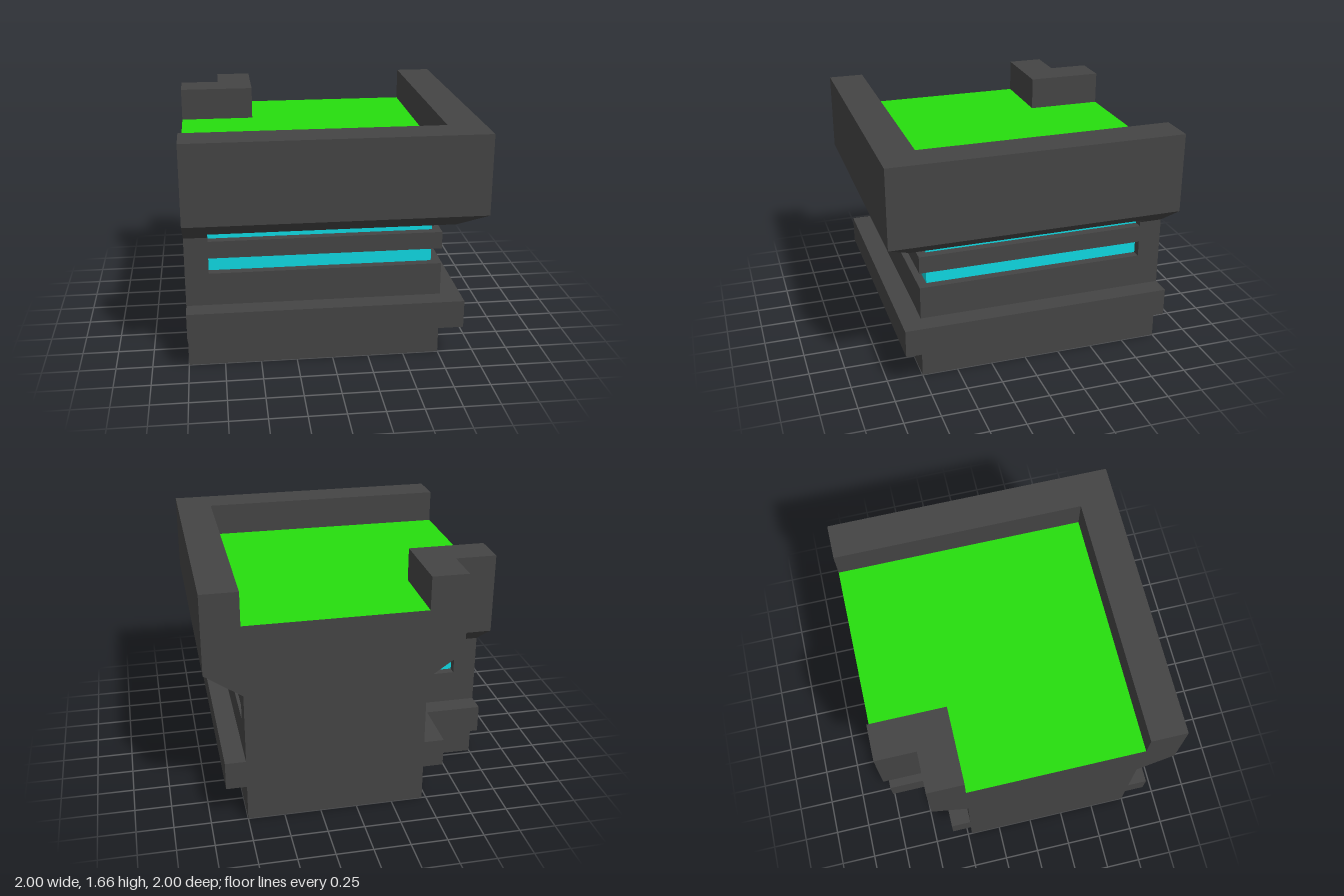
import * as THREE from 'three';

const OUTER = 0.75, NOTCH = -0.47, EDGE = -1, SLOT_END = -0.84;

// Wall profile from the ground up: [height, overhang of the wall, overhang inside the window slots]
const PROFILE = [
  [0, 0, 0], [0.255, 0, 0],
  [0.255, 0.14, 0.14], [0.45, 0.14, 0.14],             // ledge
  [0.45, 0, 0], [0.68, 0, 0],
  [0.68, 0, -0.06], [0.79, 0, -0.06],                  // lower window slot
  [0.79, 0, 0], [0.91, 0, 0],
  [0.91, 0, -0.06], [0.94, 0, -0.06], [0.99, 0.0735, 0.0135], // upper slot, cut into the slope
  [0.99, 0.0735, 0.0735], [1.11, 0.25, 0.25],
  [1.66, 0.25, 0.25], [1.66, 0, 0], [1.43, 0, 0],      // parapet, down to the roof
];

// Plan line of a wall that turns one corner, with a slot between SLOT_END on both arms
function planLine(base, sign, [y, wall, slot]) {
  const f = base + sign * wall, g = base + sign * slot;
  return [[EDGE, f], [SLOT_END, f], [SLOT_END, g], [g, g], [g, SLOT_END], [f, SLOT_END], [f, EDGE]]
    .map(([x, z]) => new THREE.Vector3(x, y, z));
}

// Sweep the profile along the wall, sorting faces into wall and glass
function sweepWall(base, sign) {
  const wall = [], glass = [];
  const addTriangle = (list, a, b, c) => {
    const area = b.clone().sub(a).cross(c.clone().sub(a)).length();
    if (area < 1e-7) return;
    for (const p of sign > 0 ? [a, b, c] : [a, c, b]) list.push(p.x, p.y, p.z);
  };
  for (let k = 0; k < PROFILE.length - 1; k++) {
    const lo = PROFILE[k], hi = PROFILE[k + 1];
    const p = planLine(base, sign, lo), q = planLine(base, sign, hi);
    const recessed = lo[2] < lo[1] && hi[2] < hi[1];
    for (let i = 0; i < p.length - 1; i++) {
      const list = recessed && (i === 2 || i === 3) ? glass : wall;
      addTriangle(list, p[i], p[i + 1], q[i + 1]);
      addTriangle(list, p[i], q[i + 1], q[i]);
    }
  }
  return [wall, glass].map((positions) => {
    const geometry = new THREE.BufferGeometry();
    geometry.setAttribute('position', new THREE.Float32BufferAttribute(positions, 3));
    geometry.computeVertexNormals();
    return geometry;
  });
}

// Flat cross-section closing the open ends of the building
function crossSection(flip) {
  const side = PROFILE.filter(([y, w], i) => i === 0 || y !== PROFILE[i - 1][0] || w !== PROFILE[i - 1][1]);
  const points = [
    ...side.map(([y, w]) => new THREE.Vector2(flip * (OUTER + w), y)),
    ...side.reverse().map(([y, w]) => new THREE.Vector2(flip * (NOTCH - w), y)),
  ];
  return new THREE.ShapeGeometry(new THREE.Shape(points));
}

// L-shaped plan for floor and roof
function plan(flip) {
  const corners = [[EDGE, OUTER], [OUTER, OUTER], [OUTER, EDGE], [NOTCH, EDGE], [NOTCH, NOTCH], [EDGE, NOTCH]];
  return new THREE.ShapeGeometry(new THREE.Shape(corners.map(([x, z]) => new THREE.Vector2(x, flip * z))));
}

export function createModel() {
  const model = new THREE.Group();
  model.name = 'cornerBuilding';
  const material = (color) => new THREE.MeshStandardMaterial({ color, flatShading: true });
  const concrete = material(0x444444), glass = material(0x0fd7e0), lawn = material(0x26de0e);

  const add = (name, geometry, mat) => {
    const mesh = new THREE.Mesh(geometry, mat);
    mesh.name = name;
    model.add(mesh);
  };

  // Outer and notch walls with their windows
  for (const [name, base, sign] of [['outer', OUTER, 1], ['notch', NOTCH, -1]]) {
    const [wallGeometry, glassGeometry] = sweepWall(base, sign);
    add(name + 'Wall', wallGeometry, concrete);
    add(name + 'Windows', glassGeometry, glass);
  }

  // Flat ends where the building meets its neighbours
  add('rightEnd', crossSection(1).rotateY(-Math.PI / 2).translate(EDGE, 0, 0), concrete);
  add('backEnd', crossSection(-1).rotateY(Math.PI).translate(0, 0, EDGE), concrete);

  // Floor and green roof
  add('floor', plan(1).rotateX(Math.PI / 2), concrete);
  add('roof', plan(-1).rotateX(-Math.PI / 2).translate(0, 1.43, 0), lawn);
  return model;
}
